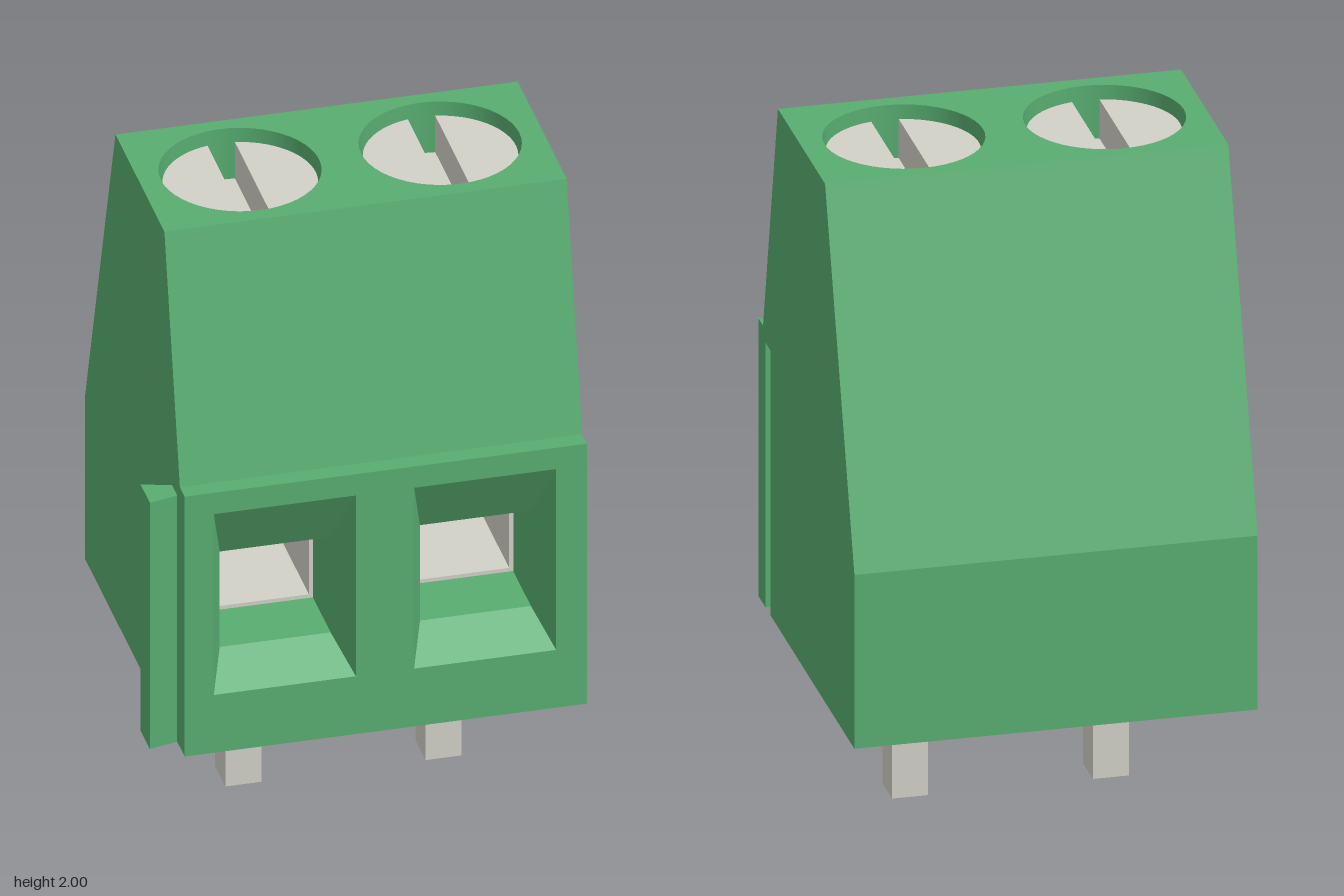
import * as THREE from 'three';

const green = new THREE.MeshStandardMaterial({ color: 0x57ad71, side: THREE.DoubleSide });
green.name = 'green plastic';
const metal = new THREE.MeshStandardMaterial({ color: 0xd2d1c7, side: THREE.DoubleSide });
metal.name = 'grey metal';

const X = new THREE.Vector3(1, 0, 0), Y = new THREE.Vector3(0, 1, 0), Z = new THREE.Vector3(0, 0, 1);
const shapeOf = (pts) => new THREE.Shape(pts.map((p) => new THREE.Vector2(...p)));
const rect = (u0, u1, v0, v1) => [[u0, v0], [u1, v0], [u1, v1], [u0, v1]];

export function createModel() {
  const model = new THREE.Group();
  model.name = 'terminalBlock';

  function add(name, geometry, material, parent = model) {
    const mesh = new THREE.Mesh(geometry, material);
    mesh.name = name;
    parent.add(mesh);
    return mesh;
  }
  // Lay a 2D geometry on axes u, v, at distance d along the normal u x v
  function place(geometry, u, v, d) {
    const n = u.clone().cross(v);
    return geometry.applyMatrix4(new THREE.Matrix4().makeBasis(u, v, n).setPosition(n.multiplyScalar(d)));
  }
  const panel = (shape, u, v, d) => place(new THREE.ShapeGeometry(shape, 24), u, v, d);
  // Flat walls between two matching rows of points
  function walls(a, b, closed) {
    const pos = [];
    const n = a.length;
    for (let i = 0; i < (closed ? n : n - 1); i++) {
      const j = (i + 1) % n;
      pos.push(...a[i], ...a[j], ...b[j], ...a[i], ...b[j], ...b[i]);
    }
    const g = new THREE.BufferGeometry();
    g.setAttribute('position', new THREE.Float32BufferAttribute(pos, 3));
    g.computeVertexNormals();
    return g;
  }

  const x0 = -0.545, x1 = 0.63, base = 0.405, front = 0.565, ledge = 1.26, top = 2;
  const poles = [-0.2525, 0.3325];
  const screwZ = 0.056, holeR = 0.231, screwR = 0.22;

  // Housing profile as (z, y), from the front top edge round to the back
  const profile = [[front, ledge], [0.51, ledge], [0.335, top], [-0.22, top], [-front, 0.94], [-front, base]];
  const strip = (from, to) => walls(
    profile.slice(from, to).map(([z, y]) => [x1, y, z]),
    profile.slice(from, to).map(([z, y]) => [x0, y, z]));
  const housing = new THREE.Group();
  housing.name = 'housing';
  model.add(housing);
  add('frontSlope', strip(0, 3), green, housing);
  add('backWalls', strip(3, 6), green, housing);

  // Side walls; the left one is split by the dovetail groove
  add('rightSide', panel(shapeOf([[front, base], ...profile]), Z, Y, -x0), green, housing);
  const grooveTop = 1.22;
  const left = [[base, front], ...profile.map(([z, y]) => [y, z]),
    [base, 0.42], [grooveTop, 0.42], [grooveTop, 0.48], [base, 0.48]];
  add('leftSide', panel(shapeOf(left), Y, Z, x1), green, housing);
  const groove = [[x1, 0.48], [0.545, 0.5], [0.545, 0.395], [x1, 0.42]];
  add('grooveWalls', walls(groove.map(([x, z]) => [x, base, z]),
    groove.map(([x, z]) => [x, grooveTop, z])), green, housing);
  add('grooveEnd', panel(shapeOf(groove), X, Z, -grooveTop), green, housing);
  add('bottom', panel(shapeOf([[x0, front], [x0, -front], [x1, -front],
    ...groove.slice().reverse(), [x1, front]]), X, Z, -base), green, housing);

  // Dovetail rib on the other side
  const rib = shapeOf([[x0, 0.42], [x0, 0.48], [-0.63, 0.5], [-0.63, 0.395]]);
  add('dovetailRib', place(new THREE.ExtrudeGeometry(rib, { depth: 1.215 - base, bevelEnabled: false }),
    X, Z, -1.215), green);

  // Front face with wire openings, top face with screw holes
  const face = shapeOf(rect(x0, x1, base, ledge));
  const roof = shapeOf(rect(-0.22, 0.335, x0, x1));
  for (const cx of poles) {
    face.holes.push(shapeOf(rect(cx - 0.2075, cx + 0.2075, 0.595, 1.19)));
    const hole = new THREE.Path();
    hole.absarc(screwZ, cx, holeR, 0, Math.PI * 2, true);
    roof.holes.push(hole);
  }
  add('frontFace', panel(face, X, Y, front), green, housing);
  add('topFace', panel(roof, Z, X, top), green, housing);

  for (const cx of poles) {
    const pole = new THREE.Group();
    pole.name = 'pole';
    model.add(pole);

    // Wire funnel, tunnel, metal cage and closed end
    const ring = (hw, y0, y1, z) => rect(cx - hw, cx + hw, y0, y1).map(([x, y]) => [x, y, z]);
    const throat = (z) => ring(0.162, 0.683, 0.997, z);
    const bore = (z) => ring(0.15, 0.695, 0.985, z);
    add('wireFunnel', walls(ring(0.2075, 0.595, 1.19, front), throat(0.455), true), green, pole);
    add('wireTunnel', walls(throat(0.455), throat(0.255), true), green, pole);
    const rim = shapeOf(rect(cx - 0.162, cx + 0.162, 0.683, 0.997));
    rim.holes.push(shapeOf(rect(cx - 0.15, cx + 0.15, 0.695, 0.985)));
    add('cageRim', panel(rim, X, Y, 0.255), metal, pole);
    add('cageBore', walls(bore(0.255), bore(-0.15), true), metal, pole);
    add('tunnelEnd', panel(shapeOf(rect(cx - 0.15, cx + 0.15, 0.695, 0.985)), X, Y, -0.15), green, pole);

    // Screw well
    const well = add('screwWell', new THREE.CylinderGeometry(holeR, holeR, 0.25, 48, 1, true), green, pole);
    well.position.set(cx, top - 0.125, screwZ);
    const floor = add('wellFloor', new THREE.CircleGeometry(holeR, 48).rotateX(-Math.PI / 2), green, pole);
    floor.position.set(cx, top - 0.25, screwZ);

    // Slotted screw: a core and two half heads
    const screw = new THREE.Group();
    screw.name = 'screw';
    screw.position.set(cx + 0.001, 0, screwZ);
    pole.add(screw);
    const headTop = 1.96, slotDepth = 0.12;
    const core = add('screwCore', new THREE.CylinderGeometry(screwR, screwR, 0.09, 48), metal, screw);
    core.position.y = headTop - slotDepth - 0.045;
    const a = Math.acos(0.04 / screwR);
    for (const turn of [0, Math.PI]) {
      const half = new THREE.Shape();
      half.absarc(0, 0, screwR, turn - a, turn + a, false);
      add('screwHalfHead', place(new THREE.ExtrudeGeometry(half,
        { depth: slotDepth, bevelEnabled: false, curveSegments: 24 }), X, Z, -headTop), metal, screw);
    }

    // Solder pin
    const pin = add('pin', new THREE.BoxGeometry(0.105, 0.41, 0.115), metal, pole);
    pin.position.set(cx, 0.205, 0.037);
  }
  return model;
}
